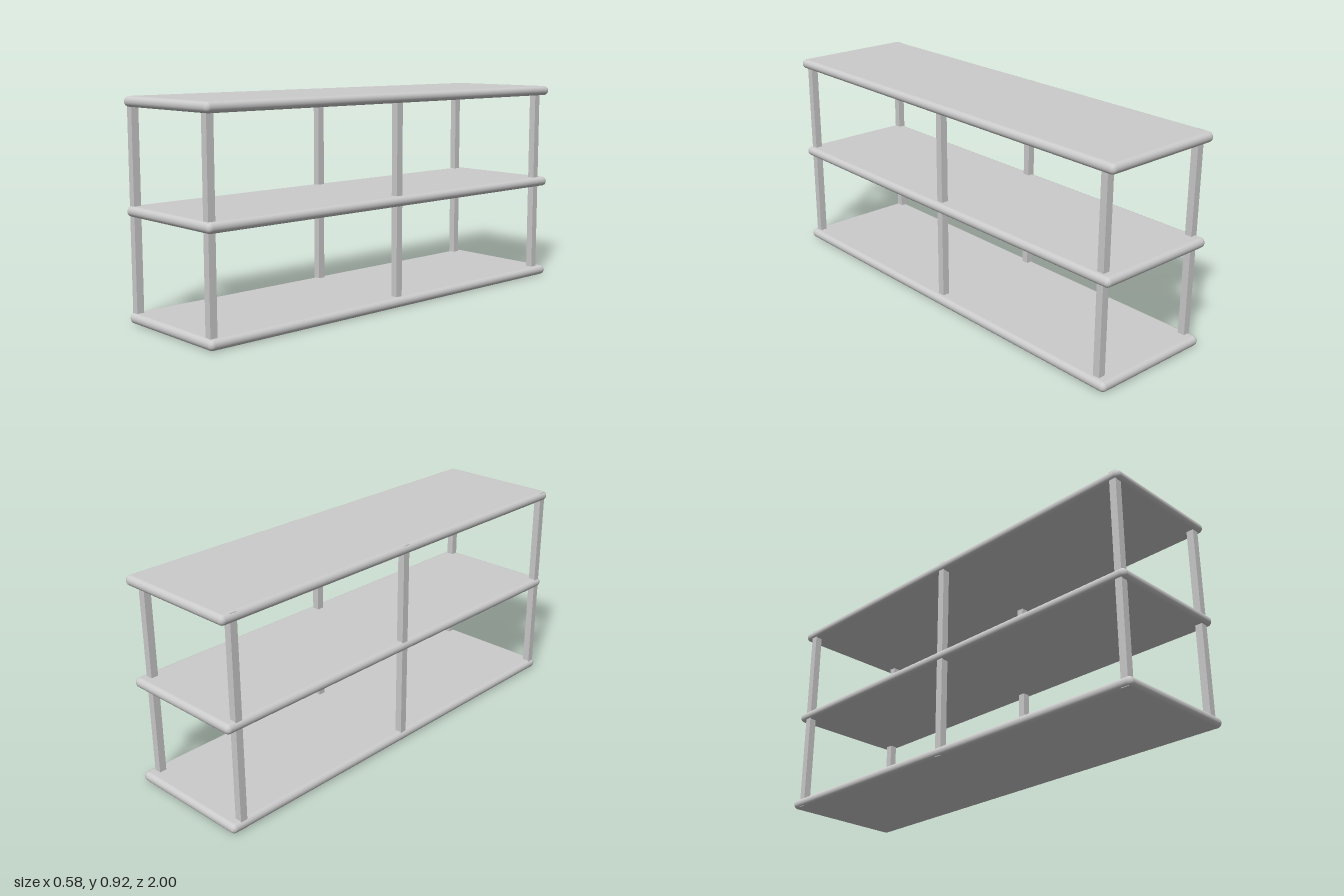
import * as THREE from 'three';
import { RoundedBoxGeometry } from 'three/addons/geometries/RoundedBoxGeometry.js';

const WIDTH = 0.576, LENGTH = 2, THICKNESS = 0.043, HEIGHT = 0.923;
const POST = 0.032;

export function createModel() {
  const group = new THREE.Group();
  group.name = 'shelvingUnit';
  const material = new THREE.MeshStandardMaterial({ color: 0xcccccc });

  // Three boards with fully rounded edges, evenly spaced
  const boardGeometry = new RoundedBoxGeometry(WIDTH, THICKNESS, LENGTH, 5, THICKNESS / 2 - 0.0005);
  ['bottomShelf', 'middleShelf', 'topShelf'].forEach((name, i) => {
    const shelf = new THREE.Mesh(boardGeometry, material);
    shelf.name = name;
    shelf.position.y = THICKNESS / 2 + i * (HEIGHT - THICKNESS) / 2;
    group.add(shelf);
  });

  // Square posts running through all boards, three along each long side
  const postHeight = HEIGHT - 0.004;
  const postGeometry = new THREE.BoxGeometry(POST, postHeight, POST);
  const rows = { left: 0.246, right: -0.264 };
  const stations = { front: 0.967, middle: -0.005, back: -0.938 };
  for (const [side, x] of Object.entries(rows)) {
    for (const [place, z] of Object.entries(stations)) {
      const post = new THREE.Mesh(postGeometry, material);
      post.name = `${place}Post_${side}`;
      post.position.set(x, HEIGHT / 2, z);
      group.add(post);
    }
  }
  return group;
}
